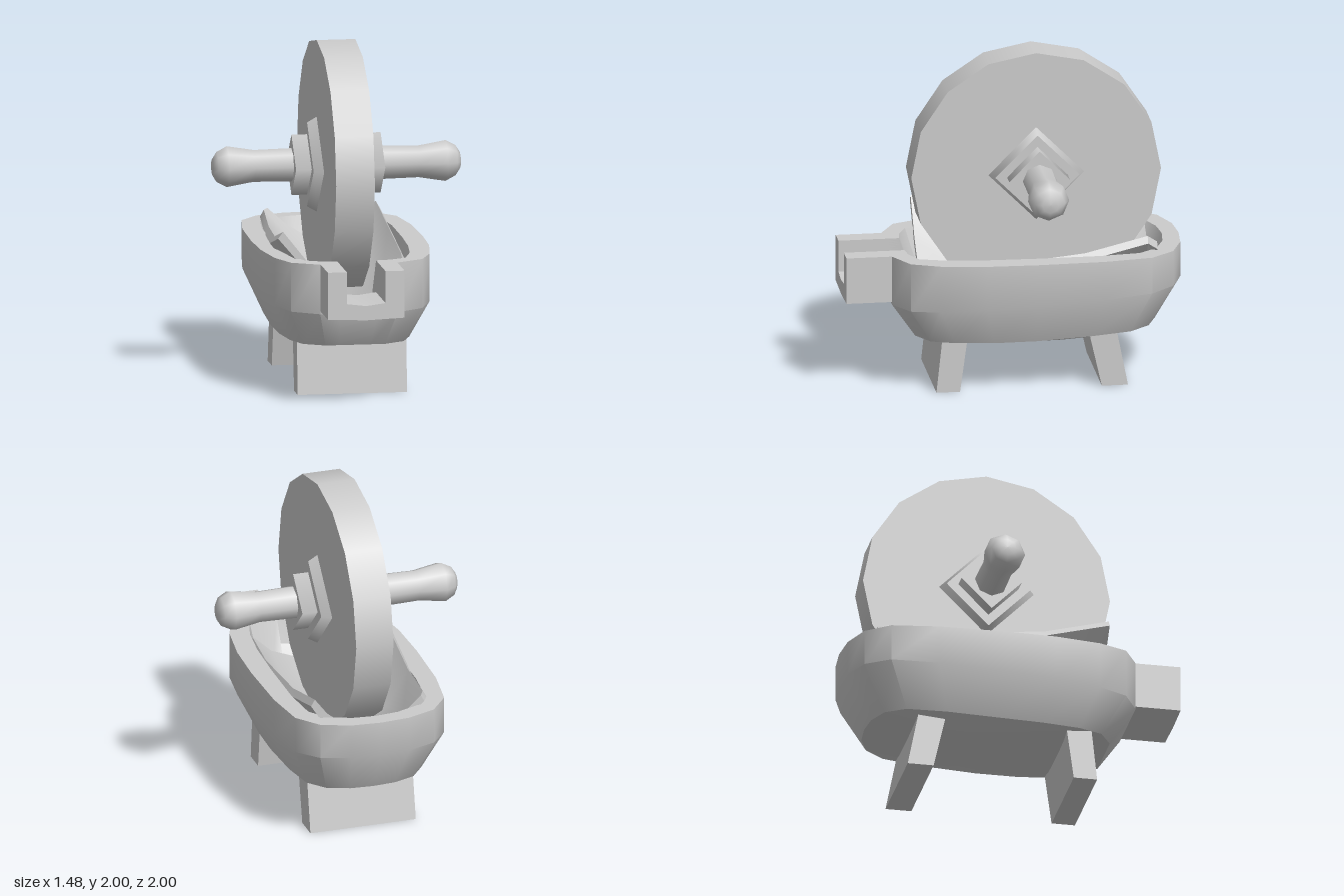
import * as THREE from 'three';
import { toCreasedNormals } from 'three/addons/utils/BufferGeometryUtils.js';

const material = new THREE.MeshStandardMaterial({ color: 0xcccccc, side: THREE.DoubleSide });

function addMesh(parent, name, geometry) {
  const mesh = new THREE.Mesh(geometry, material);
  mesh.name = name;
  parent.add(mesh);
  return mesh;
}

// Skins a row of closed rings of [x, y, z]; optional centre points close the ends.
function loft(rings, startCentre, endCentre, crease = 0.7) {
  const out = [];
  const tri = (...points) => points.forEach((p) => out.push(...p));
  const n = rings[0].length;
  for (let i = 0; i < n; i++) {
    const k = (i + 1) % n;
    for (let r = 0; r < rings.length - 1; r++) {
      const a = rings[r], b = rings[r + 1];
      tri(a[i], a[k], b[k]);
      tri(a[i], b[k], b[i]);
    }
    const first = rings[0], last = rings[rings.length - 1];
    if (startCentre) tri(startCentre, first[k], first[i]);
    if (endCentre) tri(endCentre, last[i], last[k]);
  }
  const geometry = new THREE.BufferGeometry();
  geometry.setAttribute('position', new THREE.Float32BufferAttribute(out, 3));
  return toCreasedNormals(geometry, crease);
}

// Mirrors a half outline (front to back along +x) into a full loop.
const mirror = (half) => [...half, ...half.slice(1, -1).reverse().map(([x, z]) => [-x, z])];

function bowlGeometry() {
  // The doubled points at x = 0.115 form the upright sides of the notch.
  const outer = mirror([[0, 0.73], [0.115, 0.73], [0.115, 0.73], [0.23, 0.73], [0.39, 0.64], [0.46, 0.47],
    [0.5, 0.2], [0.51, -0.1], [0.5, -0.5], [0.46, -0.78], [0.35, -0.92], [0.18, -0.985], [0, -1]]);
  const inner = mirror([[0, 0.64], [0.115, 0.64], [0.115, 0.64], [0.2, 0.63], [0.3, 0.58], [0.35, 0.42],
    [0.375, 0.2], [0.385, -0.1], [0.385, -0.48], [0.36, -0.72], [0.28, -0.83], [0.14, -0.885], [0, -0.9]]);
  const ring = (outline, sx, sz, height) =>
    outline.map(([x, z], i) => [x * sx, height(z, i), -0.12 + (z + 0.12) * sz]);
  const n = outer.length;
  const rim = (z, i) => (i === 0 ? 0.615 : i === 1 || i === n - 1 ? 0.63 : 0.82);
  return loft([
    ring(outer, 0.5, 0.4, () => 0.27),
    ring(outer, 0.77, 0.83, (z) => 0.31 + 0.035 * Math.max(0, -z)),
    ring(outer, 1, 1, (z) => 0.56 - 0.05 * z),
    ring(outer, 1, 1, rim),
    ring(inner, 1, 1, rim),
    ring(inner, 0.85, 0.87, () => 0.52),
    ring(inner, 0.5, 0.6, () => 0.42),
  ], [0, 0.265, -0.12], [0, 0.41, -0.12]);
}

// Curved lining sheet: each section runs from the -x edge to the +x edge.
function liningGeometry() {
  const sections = [
    [-0.83, [[-0.3, 0.88], [-0.2, 0.79], [0, 0.66], [0.2, 0.78], [0.31, 0.87]]],
    [-0.77, [[-0.33, 0.88], [-0.21, 0.75], [0, 0.6], [0.21, 0.75], [0.335, 0.915]]],
    [-0.4, [[-0.36, 0.85], [-0.23, 0.63], [0, 0.49], [0.23, 0.62], [0.35, 0.83]]],
    [0.15, [[-0.41, 0.89], [-0.24, 0.65], [0, 0.49], [0.22, 0.6], [0.34, 0.77]]],
    [0.53, [[-0.42, 0.985], [-0.25, 0.77], [0, 0.57], [0.18, 0.64], [0.3, 0.75]]],
  ];
  const rings = sections.map(([z, top]) => {
    const under = top.map(([x, y]) => [x + 0.07 * x, y - 0.04, z]);
    return [...under, ...top.map(([x, y]) => [x, y, z]).reverse()];
  });
  // Folding each end ring onto its middle line closes the sheet's ends.
  const fold = (ring) => ring.map((p, i) => p.map((v, a) => (v + ring[ring.length - 1 - i][a]) / 2));
  return loft([fold(rings[0]), ...rings, fold(rings[rings.length - 1])]);
}

// Open pouring channel, extruded along z.
function spoutGeometry() {
  const shape = new THREE.Shape([[-0.228, 0.54], [0, 0.53], [0.228, 0.54], [0.228, 0.82], [0.115, 0.82],
    [0.115, 0.63], [0, 0.615], [-0.115, 0.63], [-0.115, 0.82], [-0.228, 0.82]]
    .map(([x, y]) => new THREE.Vector2(x, y)));
  const geometry = new THREE.ExtrudeGeometry(shape, { depth: 0.36, bevelEnabled: false });
  return toCreasedNormals(geometry.translate(0, 0, 0.64), 0.7);
}

// Slanted plank foot, drawn in the z-y plane and extruded across x.
function footGeometry(points) {
  const shape = new THREE.Shape(points.map(([z, y]) => new THREE.Vector2(-z, y)));
  const geometry = new THREE.ExtrudeGeometry(shape, { depth: 0.65, bevelEnabled: false });
  return geometry.translate(0, 0, -0.325).rotateY(Math.PI / 2);
}

export function createModel() {
  const model = new THREE.Group();
  model.name = 'medicineGrinder';

  addMesh(model, 'bowl', bowlGeometry());
  addMesh(model, 'spout', spoutGeometry());
  addMesh(model, 'lining', liningGeometry());
  addMesh(model, 'frontFoot', footGeometry([[0.48, 0], [0.34, 0], [0.295, 0.33], [0.445, 0.33]]));
  addMesh(model, 'backFoot', footGeometry([[-0.5, 0], [-0.655, 0], [-0.59, 0.33], [-0.425, 0.33]]));

  // Grinding wheel; its axis (local y) is turned to lie along x.
  const roller = new THREE.Group();
  roller.name = 'roller';
  roller.position.set(0, 1.26, -0.14);
  model.add(roller);
  const wheel = new THREE.CylinderGeometry(0.74, 0.74, 0.23, 16);
  addMesh(roller, 'wheel', wheel.rotateX(Math.PI / 2).rotateY(Math.PI / 2).rotateX(Math.PI / 2));

  // Square hubs and a rounded handle on each side.
  for (const side of [1, -1]) {
    const axle = new THREE.Group();
    axle.name = side > 0 ? 'leftAxle' : 'rightAxle';
    axle.rotation.z = -side * Math.PI / 2;
    roller.add(axle);
    addMesh(axle, 'hubPlate', new THREE.CylinderGeometry(0.25, 0.285, 0.06, 4)).position.y = 0.142;
    addMesh(axle, 'hubBlock', new THREE.CylinderGeometry(0.18, 0.18, 0.1, 4)).position.y = 0.215;
    const profile = [[0.1, 0.25], [0.095, 0.49], [0.122, 0.65], [0.09, 0.71], [0.05, 0.735], [0, 0.738]];
    addMesh(axle, 'handle', new THREE.LatheGeometry(profile.map(([r, y]) => new THREE.Vector2(r, y)), 8));
  }
  return model;
}
